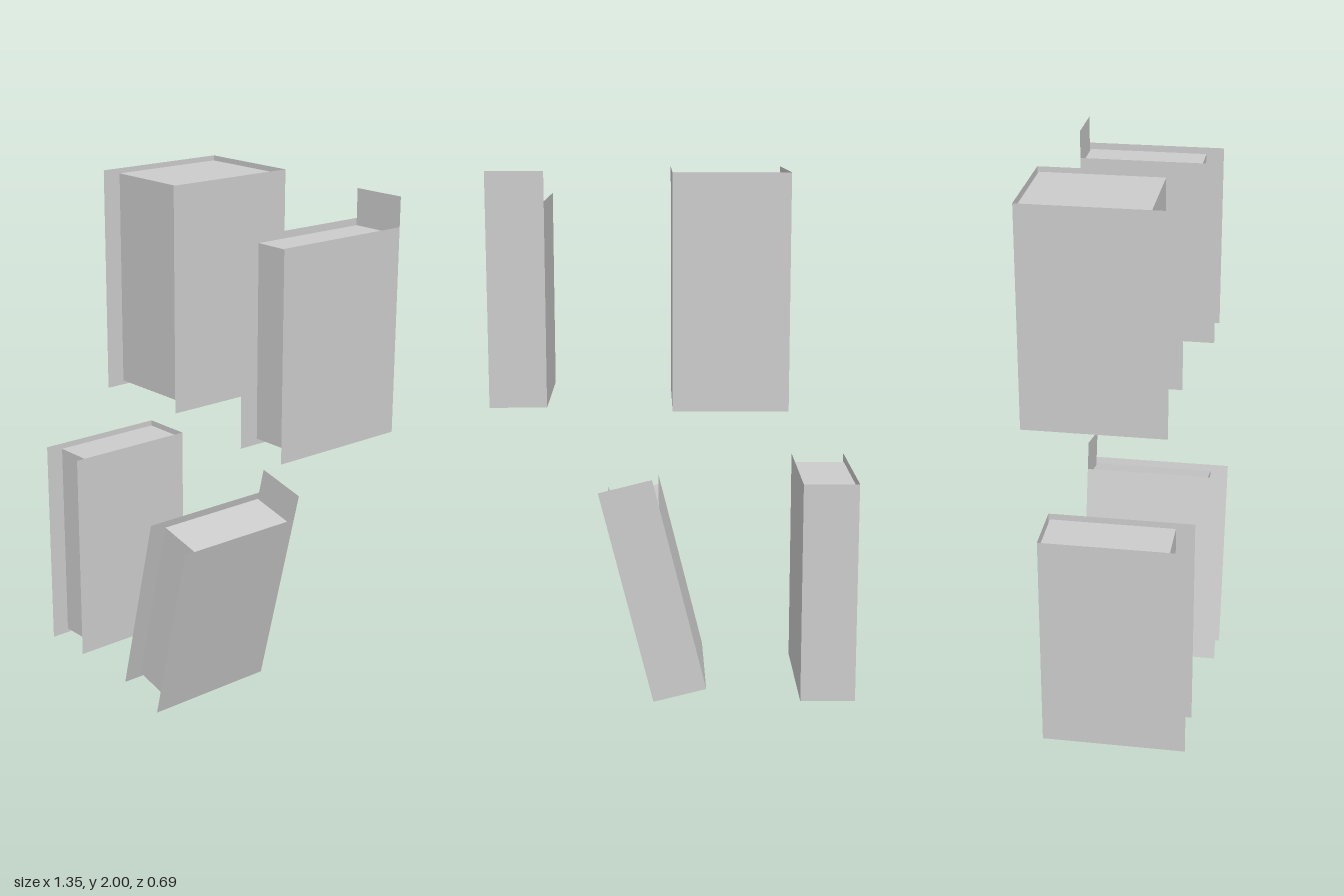
import * as THREE from 'three';

const paper = new THREE.MeshStandardMaterial({ color: 0xcccccc, flatShading: true });
const board = new THREE.MeshStandardMaterial({ color: 0xcccccc, flatShading: true, side: THREE.DoubleSide });

const SPINE_H = 0.842; // spine height
const DEPTH = 0.531; // cover depth, spine to fore edge
const PAGE_DEPTH = 0.457;
const GAP = 0.006; // between pages and boards

function addMesh(parent, name, geometry, material, x, y, z) {
  const mesh = new THREE.Mesh(geometry, material);
  mesh.name = name;
  mesh.position.set(x, y, z);
  parent.add(mesh);
}

// A book standing on its bottom edge, spine at z = 0 facing -z, fore edge toward +z
function createBook(name, width, coverH, inset) {
  const book = new THREE.Group();
  book.name = name;

  // Paper-thin boards
  addMesh(book, 'spine', new THREE.PlaneGeometry(width, SPINE_H).rotateY(Math.PI), board, 0, SPINE_H / 2, 0);
  for (const [side, label] of [[-1, 'rightCover'], [1, 'leftCover']]) {
    addMesh(book, label, new THREE.PlaneGeometry(DEPTH, coverH).rotateY(side * Math.PI / 2), board,
      side * width / 2, coverH / 2, DEPTH / 2);
  }

  // Page block, set back from the board edges
  addMesh(book, 'pages', new THREE.BoxGeometry(width - 2 * GAP, coverH - 2 * inset, PAGE_DEPTH), paper,
    0, coverH / 2, GAP + PAGE_DEPTH / 2);
  return book;
}

export function createModel() {
  const model = new THREE.Group();
  model.name = 'books';

  // name, width, cover height, page inset, position, lean
  const books = [
    ['lowerUprightBook', 0.207, 0.842, 0.02, [-0.572, 0.019, -0.234], 0],
    ['thickBook', 0.414, 0.842, 0.018, [-0.192, 1.156, -0.344], 0],
    ['tallSpineBook', 0.207, 0.737, 0.024, [0.57, 1.158, -0.272], 0],
    ['leaningBook', 0.207, 0.737, 0.024, [-0.014, 0.026, -0.186], -14],
  ];
  for (const [name, width, coverH, inset, position, lean] of books) {
    const book = createBook(name, width, coverH, inset);
    book.position.set(...position);
    book.rotation.z = THREE.MathUtils.degToRad(lean);
    model.add(book);
  }
  return model;
}
